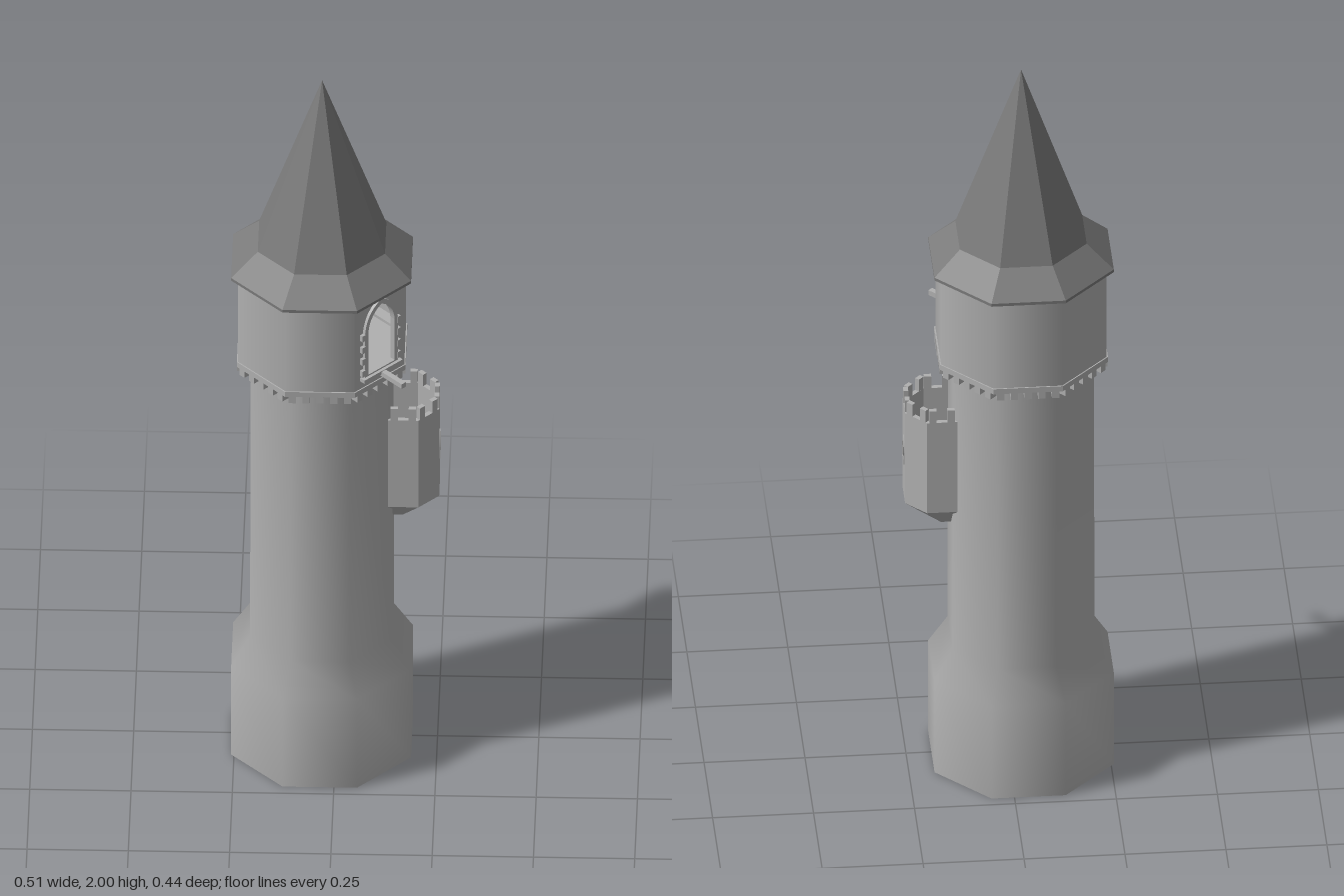
import * as THREE from 'three';
import { ConvexGeometry } from 'three/addons/geometries/ConvexGeometry.js';

const EIGHTH = Math.PI / 4;
const COS = Math.cos(EIGHTH / 2);

export function createModel() {
  const model = new THREE.Group();
  const stone = new THREE.MeshStandardMaterial({ color: 0xb0b0b0, side: THREE.DoubleSide });
  stone.name = 'stone';
  const slate = new THREE.MeshStandardMaterial({ color: 0x7a7a7a, side: THREE.DoubleSide });
  slate.name = 'slate';
  const shadow = new THREE.MeshStandardMaterial({ color: 0x555555 });
  shadow.name = 'darkOpening';

  const add = (parent, name, geometry, material = stone) => {
    const mesh = new THREE.Mesh(geometry, material);
    mesh.name = name;
    parent.add(mesh);
    return mesh;
  };
  const box = (parent, name, size, pos, turn = 0, material = stone) => {
    const mesh = add(parent, name, new THREE.BoxGeometry(...size), material);
    mesh.position.set(...pos);
    mesh.rotation.y = turn;
    return mesh;
  };
  // Octagonal lathe from [flat-to-centre distance, y] pairs
  const octagon = (profile, start = EIGHTH / 2, faces = 8) => new THREE.LatheGeometry(
    profile.map(([a, y]) => new THREE.Vector2(a / COS, y)), faces, start, faces * EIGHTH);
  const facet = (geometry) => {
    const flat = geometry.toNonIndexed();
    flat.computeVertexNormals();
    return flat;
  };

  const tower = new THREE.Group();
  tower.name = 'tower';
  tower.position.x = -0.035;
  model.add(tower);

  // Flared base and shaft
  add(tower, 'shaft', octagon([[0.222, 0], [0.222, 0.27], [0.176, 0.35], [0.174, 1.2]]));
  add(tower, 'baseUnderside', facet(octagon([[0, 0.002], [0.221, 0.002]])));

  // Upper chamber, open on the face that holds the window
  add(tower, 'chamberWalls', octagon([[0.205, 1.19], [0.205, 1.455]], EIGHTH * 1.5, 7));
  add(tower, 'chamberFloor', facet(octagon([[0, 1.192], [0.205, 1.192]])));
  add(tower, 'chamberLedge', facet(octagon([[0.174, 1.182], [0.208, 1.182], [0.208, 1.197], [0.2, 1.197]])));

  // Corbels hanging under the chamber
  for (let i = 0; i < 8; i++) {
    const side = new THREE.Group();
    side.name = 'corbelRow';
    side.rotation.y = i * EIGHTH;
    tower.add(side);
    for (let j = -2; j <= 2; j++) {
      box(side, 'corbel', [0.018, 0.022, 0.036], [j * 0.034, 1.174, 0.19]);
    }
  }

  // Roof: broad eave, steep spire
  add(tower, 'roof', facet(octagon([[0.222, 1.458], [0.157, 1.52], [0, 2]])), slate);
  add(tower, 'eave', facet(octagon([[0, 1.45], [0.222, 1.45], [0.222, 1.458]])), slate);

  // Arched window on the front left corner face
  const bay = new THREE.Group();
  bay.name = 'windowBay';
  bay.rotation.y = EIGHTH;
  tower.add(bay);
  const arch = (Kind, w, bottom, spring, top) => {
    const p = new Kind();
    p.moveTo(-w, bottom);
    p.lineTo(w, bottom);
    p.lineTo(w, spring);
    p.quadraticCurveTo(w * 0.9, top - 0.02, 0, top);
    p.quadraticCurveTo(-w * 0.9, top - 0.02, -w, spring);
    p.closePath();
    return p;
  };
  const opening = () => arch(THREE.Path, 0.045, 1.235, 1.36, 1.43);
  const wall = new THREE.Shape([[-0.085, 1.19], [0.085, 1.19], [0.085, 1.455], [-0.085, 1.455]]
    .map((p) => new THREE.Vector2(...p)));
  wall.holes.push(opening());
  add(bay, 'windowWall', new THREE.ShapeGeometry(wall)).position.z = 0.205;
  const frame = arch(THREE.Shape, 0.056, 1.225, 1.36, 1.444);
  frame.holes.push(opening());
  add(bay, 'windowFrame', new THREE.ExtrudeGeometry(frame, { depth: 0.016, bevelEnabled: false }))
    .position.z = 0.197;
  for (const s of [-1, 1]) {
    for (let i = 0; i < 4; i++) {
      box(bay, 'frameStone', [0.012, 0.018, 0.014], [s * 0.059, 1.245 + i * 0.036, 0.207]);
    }
  }
  box(bay, 'windowSill', [0.13, 0.01, 0.022], [0, 1.226, 0.21]);
  box(bay, 'beam', [0.014, 0.014, 0.1], [0, 1.222, 0.243]);

  // Balcony turret on the left side
  const balcony = new THREE.Group();
  balcony.name = 'balcony';
  model.add(balcony);
  const outer = [[0.13, -0.085], [0.205, -0.085], [0.255, -0.035], [0.255, 0.035], [0.205, 0.085], [0.13, 0.085]];
  const inner = [[0.132, -0.073], [0.2, -0.073], [0.243, -0.03], [0.243, 0.03], [0.2, 0.073], [0.132, 0.073]];
  const plan = (points) => points.map((p) => new THREE.Vector2(...p));
  const raise = (shape, y, depth) => new THREE.ExtrudeGeometry(shape, { depth, bevelEnabled: false })
    .rotateX(-Math.PI / 2).translate(0, y, 0);
  const parapet = new THREE.Shape(plan(outer));
  parapet.holes.push(new THREE.Path(plan(inner)));
  add(balcony, 'balconyWall', raise(parapet, 0.76, 0.265));
  add(balcony, 'balconyFloor', raise(new THREE.Shape(plan(inner)), 0.762, 0.088));
  const bracket = [...outer.map(([x, z]) => [x, 0.76, z]),
    [0.13, 0.69, -0.02], [0.165, 0.69, -0.02], [0.165, 0.69, 0.02], [0.13, 0.69, 0.02]];
  add(balcony, 'balconyBracket', new ConvexGeometry(bracket.map((p) => new THREE.Vector3(...p))));

  // Merlons along each parapet edge
  for (let i = 0; i < 5; i++) {
    const [ax, az] = outer[i], [bx, bz] = outer[i + 1];
    const length = Math.hypot(bx - ax, bz - az);
    const nx = (bz - az) / length, nz = -(bx - ax) / length;
    for (const t of [0.2, 0.8]) {
      box(balcony, 'merlon', [0.018, 0.035, 0.012],
        [ax + (bx - ax) * t - nx * 0.006, 1.042, az + (bz - az) * t - nz * 0.006],
        -Math.atan2(bz - az, bx - ax));
    }
  }

  // Small arched loophole in the balcony front
  const loophole = new THREE.Group();
  loophole.name = 'loophole';
  loophole.rotation.y = Math.PI / 2;
  loophole.position.x = 0.2525;
  balcony.add(loophole);
  const rim = arch(THREE.Shape, 0.022, 0.865, 0.9, 0.94);
  rim.holes.push(arch(THREE.Path, 0.013, 0.873, 0.9, 0.927));
  add(loophole, 'loopholeRim', new THREE.ExtrudeGeometry(rim, { depth: 0.005, bevelEnabled: false }));
  add(loophole, 'loopholeOpening', new THREE.ShapeGeometry(arch(THREE.Shape, 0.013, 0.873, 0.9, 0.927)), shadow)
    .position.z = 0.0035;

  return model;
}
